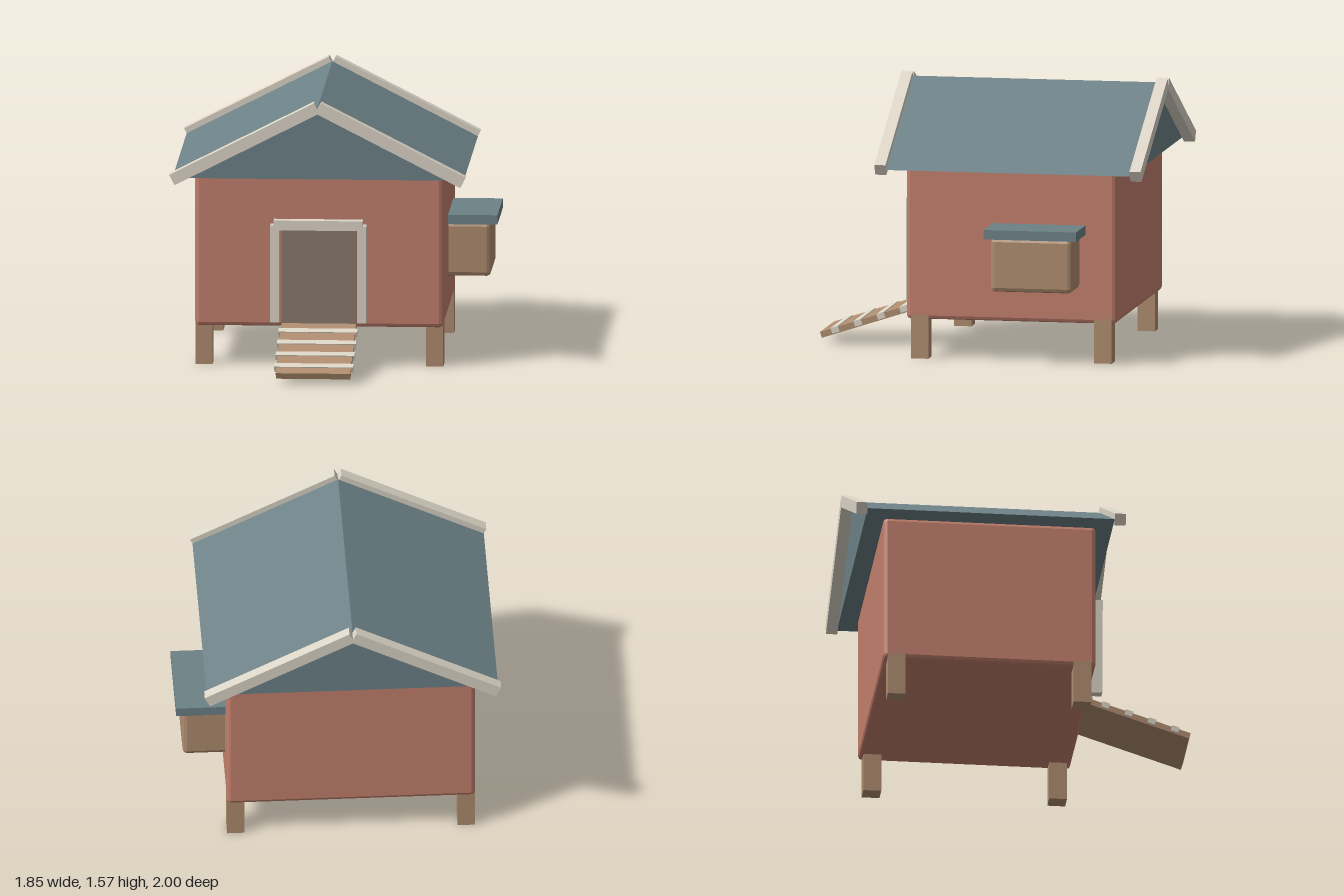
import * as THREE from 'three';
import { RoundedBoxGeometry } from 'three/addons/geometries/RoundedBoxGeometry.js';

const mat = (color) => new THREE.MeshStandardMaterial({ color, flatShading: true });

export function createModel() {
  const coop = new THREE.Group();
  coop.name = 'chickenCoop';
  const red = mat(0xc4806d), slate = mat(0x6d8287), cream = mat(0xddd6c8);
  const wood = mat(0xb08d70), dark = mat(0x8a7a6e);
  const midX = -0.075;

  const add = (name, geometry, material, parent = coop) => {
    const mesh = new THREE.Mesh(geometry, material);
    mesh.name = name;
    parent.add(mesh);
    return mesh;
  };
  // Box given by its limits on each axis; a bevel rounds its edges
  const box = (name, material, [x0, x1], [y0, y1], [z0, z1], bevel = 0) => {
    const size = [x1 - x0, y1 - y0, z1 - z0];
    const geometry = bevel
      ? new RoundedBoxGeometry(...size, 1, bevel)
      : new THREE.BoxGeometry(...size);
    const mesh = add(name, geometry, material);
    mesh.position.set((x0 + x1) / 2, (y0 + y1) / 2, (z0 + z1) / 2);
    return mesh;
  };

  // House body and legs
  box('body', red, [-0.79, 0.64], [0.23, 1.115], [-0.83, 0.4], 0.022);
  for (const x of [-0.79, 0.54])
    for (const z of [-0.805, 0.27])
      box('leg', wood, [x, x + 0.1], [0, 0.26], [z, z + 0.103]);

  // Gabled roof
  const gable = new THREE.Shape([
    new THREE.Vector2(-0.84, 1.11),
    new THREE.Vector2(0.84, 1.11),
    new THREE.Vector2(0, 1.54),
  ]);
  const roof = add('roof', new THREE.ExtrudeGeometry(gable, { depth: 1.43, bevelEnabled: false }), slate);
  roof.position.set(midX, 0, -0.935);

  // Sloping trim boards on both gables
  const pitch = Math.atan2(0.43, 0.84);
  for (const z of [0.5275, -0.9675])
    for (const side of [-1, 1]) {
      const board = add('gableTrim', new THREE.BoxGeometry(0.938, 0.068, 0.065), cream);
      board.position.set(midX + side * 0.422, 1.323, z);
      board.rotation.z = -side * pitch;
    }

  // Nest box with lid on the side wall
  box('nestBox', wood, [0.58, 0.885], [0.435, 0.75], [-0.615, -0.14], 0.024);
  box('nestBoxLid', slate, [0.6, 0.925], [0.745, 0.8], [-0.65, -0.107]);

  // Door and frame
  box('door', dark, [-0.29, 0.14], [0.25, 0.83], [0.38, 0.425]);
  for (const x of [-0.352, 0.15])
    box('doorPost', cream, [x, x + 0.052], [0.268, 0.835], [0.42, 0.483]);
  box('doorHeader', cream, [-0.332, 0.182], [0.808, 0.865], [0.43, 0.489]);

  // Ramp with rungs, tilted about its middle
  const ramp = new THREE.Group();
  ramp.name = 'ramp';
  ramp.position.set(midX, 0.146, 0.697);
  ramp.rotation.x = 0.316;
  coop.add(ramp);
  add('rampBoard', new THREE.BoxGeometry(0.43, 0.036, 0.627), wood, ramp);
  for (let i = 0; i < 4; i++)
    add('rung', new THREE.BoxGeometry(0.455, 0.034, 0.045), cream, ramp)
      .position.set(0, 0.006, 0.222 - i * 0.141);

  return coop;
}
